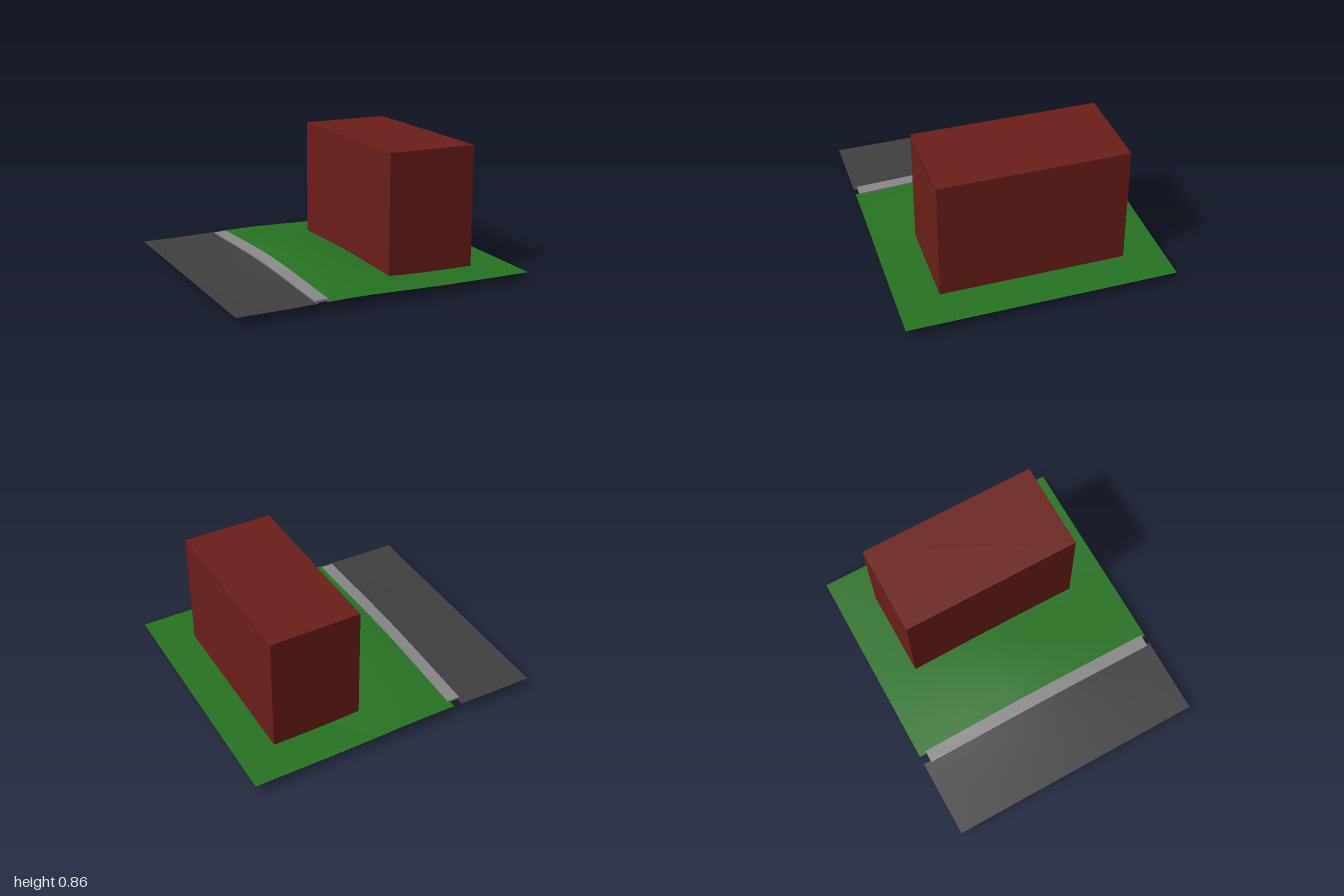
import * as THREE from 'three';

const material = (color, side = THREE.FrontSide) => new THREE.MeshStandardMaterial({ color, side });

// Gentle mound in the ground, highest near x = -0.2
const groundHeight = (x, z) =>
  0.055 + 0.05 * Math.exp(-(((x + 0.2) / 0.4) ** 2) - (z / 0.75) ** 2);

// Lift every vertex of a geometry by the ground height below it
function drape(geometry) {
  const p = geometry.attributes.position;
  for (let i = 0; i < p.count; i++) {
    p.setY(i, p.getY(i) + groundHeight(p.getX(i), p.getZ(i)));
  }
  geometry.computeVertexNormals();
  return geometry;
}

// Thin ground sheet between two x positions
function groundSheet(name, x0, x1, color) {
  const geometry = new THREE.PlaneGeometry(x1 - x0, 1.76, 32, 32);
  geometry.rotateX(-Math.PI / 2).translate((x0 + x1) / 2, 0, 0);
  const mesh = new THREE.Mesh(drape(geometry), material(color, THREE.DoubleSide));
  mesh.name = name;
  return mesh;
}

export function createModel() {
  const model = new THREE.Group();
  model.name = 'buildingPlot';

  // Ground on either side of the kerb
  model.add(groundSheet('road', -1, -0.475, 0x404040));
  model.add(groundSheet('lawn', -0.42, 1, 0x267322));

  // Raised kerb following the mound
  const kerbGeometry = new THREE.BoxGeometry(0.085, 0.014, 1.685, 2, 1, 32);
  kerbGeometry.translate(-0.4475, 0.004, 0.0125);
  const kerb = new THREE.Mesh(drape(kerbGeometry), material(0x888888));
  kerb.name = 'kerb';
  model.add(kerb);

  // Plain block of a building, sunk through the lawn
  const building = new THREE.Mesh(new THREE.BoxGeometry(0.605, 0.855, 1.22), material(0x6b1e1a));
  building.name = 'building';
  building.position.set(0.4425, 0.4275, -0.01);
  model.add(building);

  return model;
}
